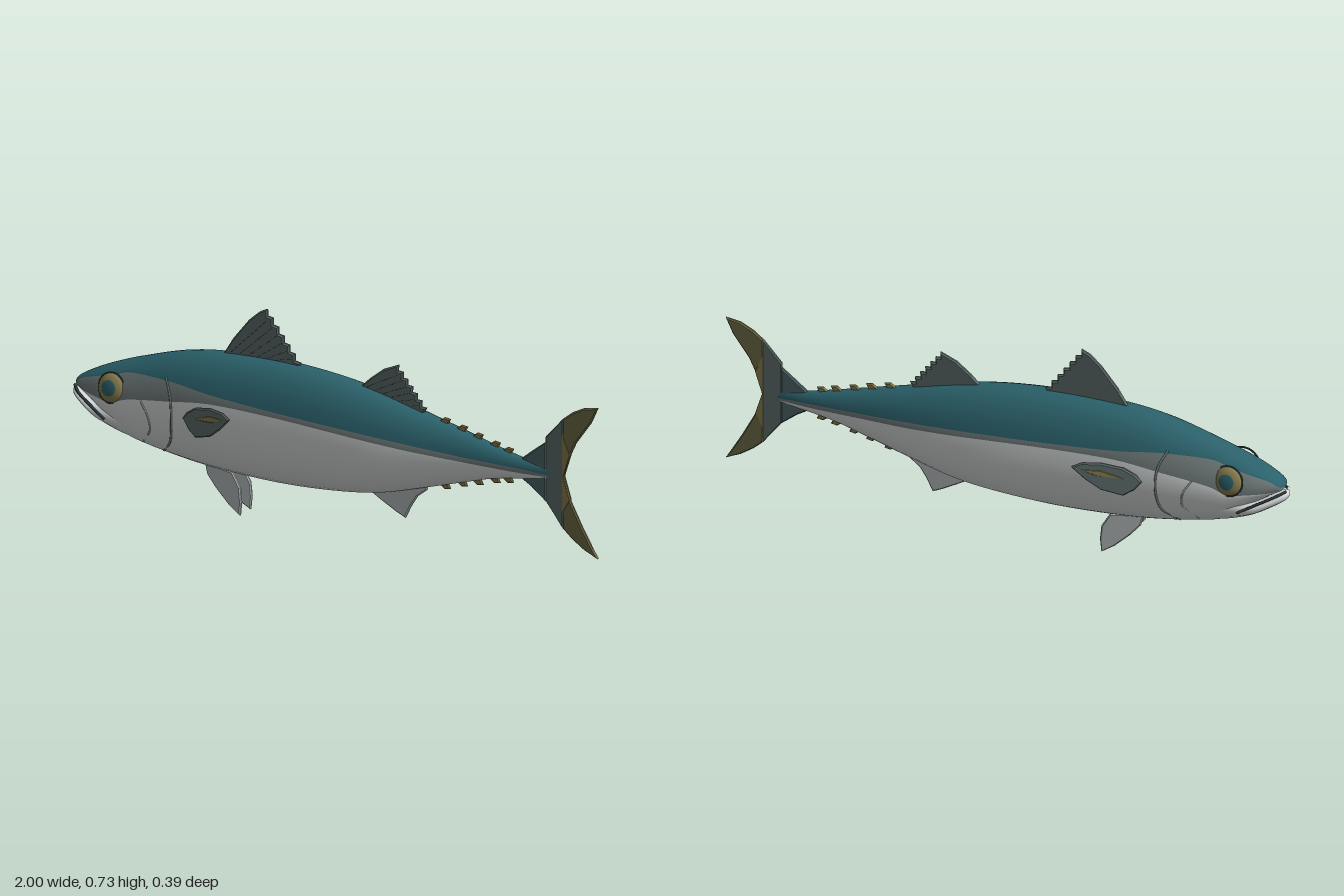
import * as THREE from 'three';

const mat = (name, color, side = THREE.FrontSide) => {
  const m = new THREE.MeshStandardMaterial({ color, side });
  m.name = name;
  return m;
};

export function createModel() {
  const fish = new THREE.Group();
  fish.name = 'fish';
  const teal = mat('backTeal', 0x2b616b), grey = mat('bandGrey', 0x6f7a79), white = mat('bellyWhite', 0xd4d8d8);
  const finGrey = mat('finGrey', 0x5b6a69), olive = mat('tailOlive', 0x6b6946), gold = mat('gold', 0x857b4c);
  const dark = mat('darkLine', 0x2d3a3c), pale = mat('paleFin', 0xb4baba), root = mat('tailRoot', 0x4c6467);

  const add = (name, geo, material, parent = fish) => {
    const m = new THREE.Mesh(geo, material);
    m.name = name;
    parent.add(m);
    return m;
  };

  // Smooth sections along x from rows of [x, top, bottom, halfWidth, tealEdge, whiteEdge]
  const sample = (rows, n) => {
    const spline = (f) => new THREE.CatmullRomCurve3(rows.map((r) => new THREE.Vector3(...f(r))), false, 'catmullrom', 0.5);
    const a = spline((r) => [r[0], r[1], r[2]]), b = spline((r) => [r[3], r[4] ?? 0, r[5] ?? 0]);
    return Array.from({ length: n + 1 }, (_, i) => {
      const p = a.getPoint(i / n), q = b.getPoint(i / n);
      return { x: p.x, top: p.y, bot: p.z, w: Math.max(q.x, 0.0005), teal: q.y, white: q.z };
    });
  };

  // Loft of elliptical rings; the rows of each ring follow the colour edges
  const loft = (sections, materials) => {
    const pos = [], bands = [[], [], []], counts = [7, 2, 8], half = 17, ring = 34;
    sections.forEach((s) => {
      const cy = (s.top + s.bot) / 2, ry = Math.max((s.top - s.bot) / 2, 0.0005);
      const angle = (y) => Math.acos(THREE.MathUtils.clamp((y - cy) / ry, -0.97, 0.97));
      const t1 = angle(s.teal), t2 = Math.max(angle(s.white), t1 + 0.01);
      const stops = [0, t1, t2, Math.PI], thetas = [0];
      counts.forEach((c, k) => {
        for (let j = 1; j <= c; j++) thetas.push(THREE.MathUtils.lerp(stops[k], stops[k + 1], j / c));
      });
      for (let j = 0; j < ring; j++) {
        const th = thetas[j <= half ? j : ring - j], side = j <= half ? 1 : -1;
        pos.push(s.x, cy + ry * Math.cos(th), side * s.w * Math.sin(th));
      }
    });
    for (let i = 0; i < sections.length - 1; i++) {
      for (let j = 0; j < ring; j++) {
        const row = j < half ? j : ring - 1 - j;
        const a = i * ring + j, b = i * ring + ((j + 1) % ring);
        bands[row < 7 ? 0 : row < 9 ? 1 : 2].push(a, b, a + ring, b, b + ring, a + ring);
      }
    }
    const g = new THREE.BufferGeometry();
    g.setAttribute('position', new THREE.Float32BufferAttribute(pos, 3));
    g.setIndex(bands.flat());
    let start = 0;
    if (materials > 1) bands.forEach((b, k) => { g.addGroup(start, b.length, k); start += b.length; });
    g.computeVertexNormals();
    return g;
  };

  // Body
  const body = sample([
    [-0.985, 0.358, 0.355, 0.001, 0.357, 0.356], [-0.975, 0.376, 0.343, 0.032, 0.364, 0.352],
    [-0.94, 0.398, 0.322, 0.055, 0.385, 0.345], [-0.88, 0.428, 0.280, 0.078, 0.405, 0.34],
    [-0.81, 0.457, 0.222, 0.092, 0.425, 0.335], [-0.74, 0.482, 0.190, 0.101, 0.445, 0.36],
    [-0.58, 0.530, 0.160, 0.114, 0.450, 0.385], [-0.42, 0.554, 0.143, 0.121, 0.435, 0.405],
    [-0.20, 0.560, 0.135, 0.121, 0.420, 0.402], [0.0, 0.546, 0.144, 0.117, 0.408, 0.390],
    [0.17, 0.517, 0.166, 0.105, 0.395, 0.375], [0.33, 0.477, 0.210, 0.083, 0.380, 0.360],
    [0.49, 0.437, 0.258, 0.056, 0.365, 0.348], [0.60, 0.408, 0.290, 0.040, 0.357, 0.341],
    [0.70, 0.385, 0.308, 0.025, 0.350, 0.335], [0.82, 0.362, 0.325, 0.006, 0.340, 0.332],
  ], 75);
  add('body', loft(body, 3), [teal, grey, white]);

  // Lower jaw
  add('lowerJaw', loft(sample([
    [-1, 0.33, 0.326, 0.001], [-0.985, 0.339, 0.305, 0.03], [-0.95, 0.325, 0.283, 0.05], [-0.9, 0.308, 0.254, 0.068],
    [-0.85, 0.315, 0.23, 0.077], [-0.78, 0.33, 0.205, 0.08], [-0.7, 0.32, 0.19, 0.07],
  ], 20), 1), white);

  // Half width of the body at a point of its side
  const zAt = (x, y) => {
    const i = Math.max(1, body.findIndex((s) => s.x >= x)), p = body[i - 1], q = body[i];
    const f = (x - p.x) / (q.x - p.x), mix = (k) => THREE.MathUtils.lerp(p[k], q[k], f);
    const u = (2 * y - mix('top') - mix('bot')) / (mix('top') - mix('bot'));
    return mix('w') * Math.sqrt(Math.max(0, 1 - u * u));
  };
  const line = (name, pts, r, material) =>
    add(name, new THREE.TubeGeometry(new THREE.CatmullRomCurve3(pts.map((p) => new THREE.Vector3(...p))), 24, r, 6), material);

  // Flat fin in the xy plane, centred on z = 0
  const finShape = (pts, t) => {
    const shape = new THREE.Shape(pts.map((p) => new THREE.Vector2(...p)));
    const b = t * 0.3;
    const g = new THREE.ExtrudeGeometry(shape, {
      depth: t - 2 * b, bevelThickness: b, bevelSize: b, bevelOffset: -b, bevelSegments: 1,
    });
    return g.translate(0, 0, b - t / 2);
  };
  // Saw-toothed trailing edge between two points
  const teeth = (a, b, n) => Array.from({ length: 2 * n }, (_, i) => {
    const f = i / (2 * n), d = i % 2 ? -0.01 : 0;
    return [a[0] + (b[0] - a[0]) * f + d, a[1] + (b[1] - a[1]) * f + d];
  });

  // Dorsal fins with thin dark rays
  const dorsal = (name, front, tip, end, baseEnd) => {
    add(name, finShape([...front, ...teeth(tip, end, 6), end, baseEnd], 0.016), finGrey);
    const base = front[0];
    for (let i = 1; i < 7; i++) {
      const f = i / 7;
      const p = new THREE.Vector3(base[0] + (baseEnd[0] - base[0]) * f * 0.8, base[1] + (baseEnd[1] - base[1]) * f + 0.015, 0);
      const q = new THREE.Vector3(tip[0] + (end[0] - tip[0]) * f - 0.016, tip[1] + (end[1] - tip[1]) * f - 0.014, 0);
      const ray = add(name + 'Ray', new THREE.CylinderGeometry(0.0025, 0.0025, p.distanceTo(q), 5), dark);
      ray.position.copy(p).lerp(q, 0.5);
      ray.scale.z = 3.8;
      ray.rotation.z = Math.atan2(q.y - p.y, q.x - p.x) - Math.PI / 2;
    }
  };
  dorsal('firstDorsalFin', [[-0.43, 0.545], [-0.39, 0.61], [-0.33, 0.685], [-0.29, 0.72]], [-0.262, 0.733], [-0.135, 0.565], [-0.14, 0.545]);
  dorsal('secondDorsalFin', [[0.09, 0.52], [0.13, 0.56], [0.18, 0.6]], [0.238, 0.625], [0.345, 0.492], [0.33, 0.465]);

  // Anal fin
  add('analFin', finShape([[0.12, 0.17], [0.345, 0.225], [0.348, 0.205], [0.31, 0.175], [0.285, 0.135],
    [0.265, 0.092], [0.23, 0.108], [0.18, 0.135]], 0.014), pale);

  // Finlets along the tail stalk
  [[0.41, 0.452, 0.24], [0.475, 0.437, 0.26], [0.535, 0.42, 0.276], [0.6, 0.403, 0.294], [0.65, 0.39, 0.304]].forEach(([x, top, bot]) => {
    [[top, 1], [bot, -1]].forEach(([y, s]) => {
      const pts = [[x - 0.03, y - 0.005 * s], [x + 0.012, y - 0.012 * s], [x + 0.026, y + 0.016 * s], [x + 0.004, y + 0.02 * s]];
      add('finlet', finShape(s > 0 ? pts : pts.reverse(), 0.012), gold);
    });
  });

  // Forked tail
  add('tailRoot', finShape([[0.7, 0.375], [0.7, 0.315], [0.745, 0.288], [0.8, 0.245], [0.8, 0.455], [0.745, 0.412]], 0.016), root);
  add('tailMiddle', finShape([[0.799, 0.247], [0.866, 0.16], [0.866, 0.548], [0.799, 0.472]], 0.014), finGrey);
  add('tailUpperLobe', finShape([[0.865, 0.345], [0.878, 0.39], [0.915, 0.47], [0.972, 0.55], [0.998, 0.607],
    [0.945, 0.598], [0.9, 0.575], [0.865, 0.547]], 0.014), olive);
  add('tailLowerLobe', finShape([[0.865, 0.161], [0.9, 0.13], [0.945, 0.1], [0.998, 0.076], [0.975, 0.115],
    [0.94, 0.175], [0.89, 0.27], [0.865, 0.345]], 0.014), olive);
  [-1, 1].forEach((s) => add('tailStripe', finShape([[0.863, 0.345 - 0.13], [0.893, 0.345 - 0.08], [0.868, 0.345],
    [0.893, 0.345 + 0.08], [0.863, 0.345 + 0.15]], 0.004).translate(0, 0, s * 0.006), gold));

  // Paired parts
  [1, -1].forEach((s) => {
    // Eye: iris ring and pupil cap of one flattened dome
    const eye = new THREE.Group();
    eye.name = 'eye';
    add('pupil', new THREE.SphereGeometry(1, 28, 8, 0, Math.PI * 2, 0, 0.58), teal, eye);
    add('iris', new THREE.SphereGeometry(1, 28, 8, 0, Math.PI * 2, 0.58, 1), gold, eye);
    add('eyeRim', new THREE.TorusGeometry(1, 0.09, 6, 32).rotateX(Math.PI / 2), dark, eye);
    eye.scale.set(0.05, 0.022, 0.05);
    eye.rotation.set(s * (Math.PI / 2 - 0.2), 0, s * 0.1);
    eye.position.set(-0.812, 0.383, s * (zAt(-0.812, 0.383) - 0.004));
    fish.add(eye);

    // Gill edges and mouth
    const onSide = ([x, y]) => [x, y, s * zAt(x, y)];
    line('gillEdge', [[-0.6, 0.46], [-0.572, 0.4], [-0.565, 0.32], [-0.58, 0.24], [-0.63, 0.185]].map(onSide), 0.004, grey);
    line('cheekEdge', [[-0.69, 0.37], [-0.66, 0.32], [-0.655, 0.27], [-0.7, 0.21]].map(onSide), 0.003, pale);
    line('mouth', [[-0.99, 0.342, s * 0.012], [-0.96, 0.331, s * 0.044], [-0.9, 0.3, s * 0.066], [-0.84, 0.265, s * 0.077]], 0.005, dark);

    // Pectoral fin, swept outwards, with a gold stripe
    const sweep = (g) => {
      const p = g.attributes.position;
      for (let i = 0; i < p.count; i++) p.setZ(i, p.getZ(i) + s * (0.114 + (p.getX(i) + 0.52) * 0.35));
      g.computeVertexNormals();
      return g;
    };
    add('pectoralFin', sweep(finShape([[-0.52, 0.34], [-0.495, 0.31], [-0.46, 0.288], [-0.39, 0.31], [-0.34, 0.35],
      [-0.297, 0.395], [-0.33, 0.41], [-0.39, 0.41], [-0.46, 0.392], [-0.5, 0.365]], 0.014)), finGrey);
    add('pectoralStripe', sweep(finShape([[-0.47, 0.352], [-0.38, 0.36], [-0.325, 0.388], [-0.39, 0.388]], 0.018)), gold);

    // Pelvic fin
    const pelvic = add('pelvicFin', finShape([[-0.07, 0.16], [-0.06, 0.12], [-0.025, 0.08], [0.03, 0.03], [0.075, 0.002],
      [0.08, 0.05], [0.075, 0.1], [0.045, 0.15]], 0.014), pale);
    pelvic.position.set(-0.42, 0, s * 0.026);
    pelvic.rotation.y = -s * 0.12;
  });

  return fish;
}
